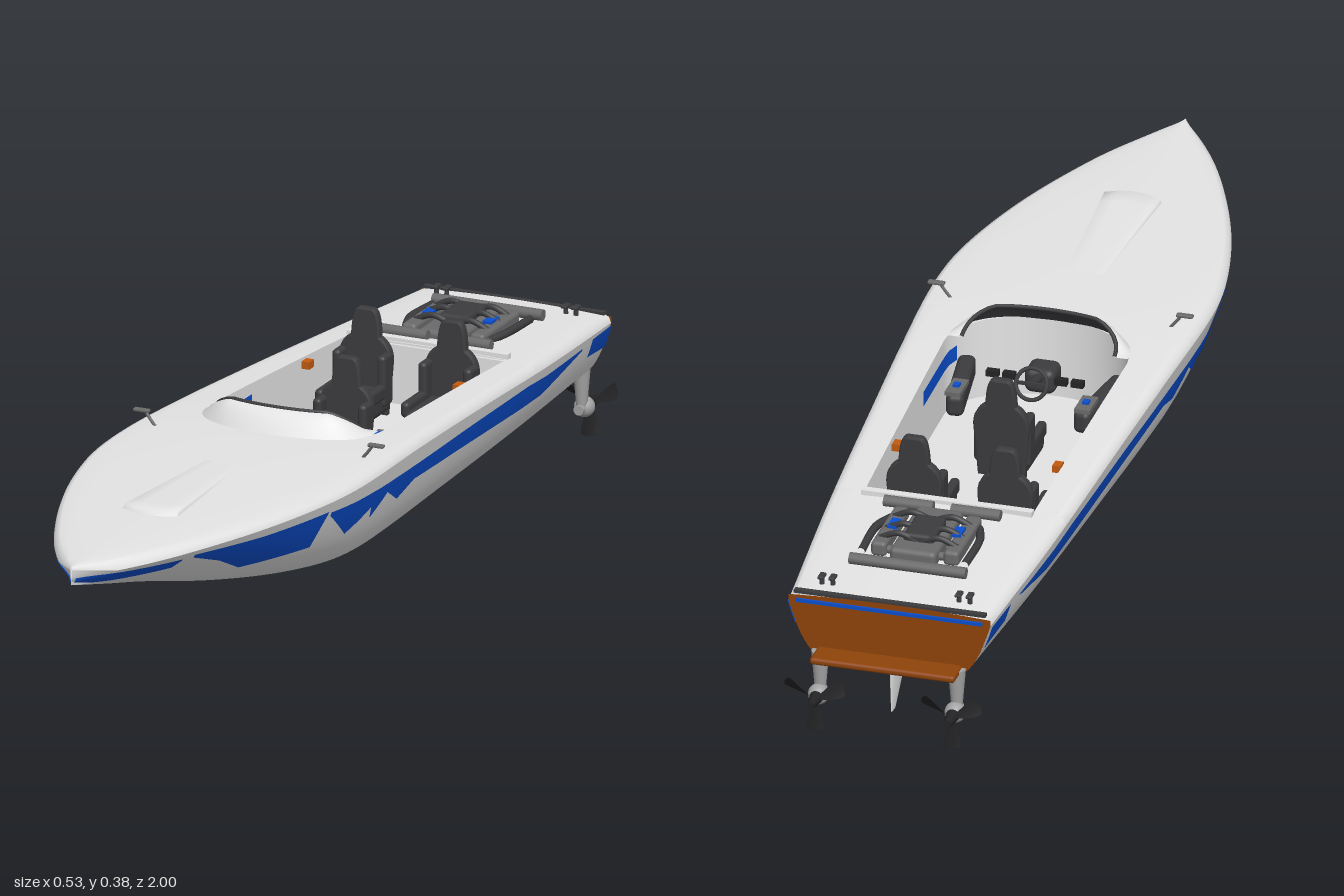
import * as THREE from 'three';
import { RoundedBoxGeometry } from 'three/addons/geometries/RoundedBoxGeometry.js';

const mat = (name, color, side = THREE.FrontSide) => {
  const m = new THREE.MeshStandardMaterial({ color, side });
  m.name = name;
  return m;
};
const white = mat('white', 0xe4e4e4, THREE.DoubleSide), blue = mat('blue', 0x0b4fd0, THREE.DoubleSide);
const brown = mat('brown', 0x8f430a, THREE.DoubleSide), dark = mat('darkGrey', 0x3c3c3f);
const black = mat('black', 0x232325, THREE.DoubleSide), grey = mat('grey', 0x6a6a6a);
const silver = mat('silver', 0xa2a2a2), orange = mat('orange', 0xc25a10);

// Smooth curve through [z, value] points
function curve(p) {
  const slope = i => {
    const a = p[Math.max(i - 1, 0)], b = p[Math.min(i + 1, p.length - 1)];
    return (b[1] - a[1]) / (b[0] - a[0]);
  };
  return z => {
    let i = 0;
    while (i < p.length - 2 && z > p[i + 1][0]) i++;
    const d = p[i + 1][0] - p[i][0], t = (z - p[i][0]) / d, t2 = t * t, t3 = t2 * t;
    return (2 * t3 - 3 * t2 + 1) * p[i][1] + (t3 - 2 * t2 + t) * d * slope(i)
      + (3 * t2 - 2 * t3) * p[i + 1][1] + (t3 - t2) * d * slope(i + 1);
  };
}
const beam = curve([[-.93, .195], [-.6, .222], [-.2, .245], [0, .256], [.25, .266], [.4, .255], [.6, .207], [.8, .13], [.92, .065], [1, 0.002]]);
const sheer = curve([[-.93, .259], [-.6, .28], [-.3, .301], [0, .319], [.2, .326], [.6, .328], [1, .327]]);
const keel = curve([[-.93, .126], [-.2, .126], [.2, .128], [.4, .15], [.6, .187], [.8, .24], [.92, .274], [1, .297]]);
const flat = curve([[-.93, .62], [.1, .64], [.4, .5], [.7, .2], [1, 0]]);
const clamp = THREE.MathUtils.clamp, lerp = THREE.MathUtils.lerp;
const range = (a, b, n) => Array.from({ length: n + 1 }, (_, i) => a + (b - a) * i / n);
const edge = z => Math.min(1, beam(z) / .06);
const sideTop = z => sheer(z) - .015 * edge(z);
const deckY = (x, z) => sheer(z) + .006 * (1 - Math.min(1, (x / beam(z)) ** 2));
const chineY = z => keel(z) + .007;
const sideX = (z, y) => {
  const u = clamp((y - chineY(z)) / (sideTop(z) - chineY(z)), 0, 1);
  return beam(z) * (flat(z) + (1 - flat(z)) * u ** .43);
};
// Half section: v 0..1 is the bottom with its tunnel, 1..2 the side
function section(z, v) {
  const s = Math.sign(v), a = Math.abs(v);
  if (a <= 1) {
    const tunnel = .018 * clamp((.5 - z) / .5, 0, 1) * Math.sin(Math.PI * a) ** 2;
    return [s * a * beam(z) * flat(z), keel(z) + .007 * a + tunnel, z];
  }
  const y = lerp(chineY(z), sideTop(z), (a - 1) ** 1.8);
  return [s * sideX(z, y), y, z];
}

// Surface from rows and columns of points
function grid(us, vs, fn) {
  const pos = [], idx = [], n = vs.length;
  us.forEach(u => vs.forEach(v => pos.push(...fn(u, v))));
  for (let i = 0; i < us.length - 1; i++) for (let j = 0; j < n - 1; j++) {
    const a = i * n + j, b = a + n;
    idx.push(a, b, a + 1, b, b + 1, a + 1);
  }
  const g = new THREE.BufferGeometry();
  g.setAttribute('position', new THREE.Float32BufferAttribute(pos, 3));
  g.setIndex(idx);
  g.computeVertexNormals();
  return g;
}

export function createModel() {
  const root = new THREE.Group();
  const add = (name, geo, m, x = 0, y = 0, z = 0, parent = root) => {
    const mesh = new THREE.Mesh(geo, m);
    mesh.name = name;
    mesh.position.set(x, y, z);
    parent.add(mesh);
    return mesh;
  };
  const box = (name, w, h, d, m, x, y, z, parent) => add(name, new THREE.BoxGeometry(w, h, d), m, x, y, z, parent);
  const rbox = (name, w, h, d, r, m, x, y, z, parent) => add(name, new RoundedBoxGeometry(w, h, d, 3, r), m, x, y, z, parent);
  const rod = (name, pts, r, m, parent) => add(name, new THREE.TubeGeometry(
    new THREE.CatmullRomCurve3(pts.map(p => new THREE.Vector3(...p))), 24, r, 8), m, 0, 0, 0, parent);

  // Hull and transom
  const cols = range(2, -2, 48);
  add('hull', grid(range(-.93, 1, 80), cols, section), white);
  add('transom', grid(range(0, 1, 4), range(-2, 2, 48), (u, v) => {
    const [x, y] = section(-.93, v);
    return [x, lerp(y, deckY(x, -.93) - .003, u), -.931];
  }), brown);
  rbox('transomLedge', .28, .014, .06, .006, brown, 0, .148, -.952);
  box('transomStripe', .36, .007, .004, blue, 0, .247, -.933);
  box('transomTrim', .37, .006, .012, dark, 0, .263, -.925);

  // Deck around the open cockpit
  const opening = z => (z > .02 ? .176 * Math.sqrt(Math.max(0, 1 - ((z - .02) / .13) ** 2)) : lerp(.163, .176, (z + .54) / .56));
  const front = range(0, Math.PI / 2, 16).map(a => .02 + .13 * Math.sin(a));
  const cockpitZ = [...range(-.54, 0, 16), ...front];
  const deckPoint = (s, inner) => (z, j) => {
    const W = beam(z), k = edge(z);
    if (j === 0) return [s * W, sideTop(z), z];
    if (j === 1) return [s * Math.max(0, W - .004 * k), sheer(z) - .004 * k, z];
    const x = lerp(Math.max(0, W - .014 * k), inner(z), (j - 2) / 6);
    return [s * x, deckY(x, z), z];
  };
  for (const s of [1, -1]) {
    const js = s > 0 ? range(8, 0, 8) : range(0, 8, 8);
    add('rearDeck', grid(range(-.93, -.54, 12), js, deckPoint(s, () => 0)), white);
    add('sideDeck', grid(cockpitZ, js, deckPoint(s, opening)), white);
    add('foreDeck', grid(range(.15, 1, 40), js, deckPoint(s, () => 0)), white);
    add('cockpitWall', grid(cockpitZ, s > 0 ? [0, 1] : [1, 0],
      (z, v) => [s * opening(z), lerp(.17, deckY(opening(z), z), v), z]), white);
    add('innerStripe', grid(range(-.14, .06, 8), s > 0 ? [0, 1] : [1, 0],
      (z, v) => [s * (opening(z) - .004), lerp(.265, .295, v), z]), blue);
  }
  add('cockpitFloor', grid(cockpitZ, [-1, 1], (z, v) => [v * opening(z), .17, z]), white);
  box('cockpitBulkhead', .325, .115, .006, white, 0, .2275, -.54);
  box('bulkheadRail', .33, .012, .016, white, 0, .29, -.552);

  // Jagged side stripes: [z, top, bottom]
  const stripes = [
    [[.995, .311, .302], [.94, .309, .288], [.8, .303, .287], [.79, .303, .299]],
    [[.765, .306, .3], [.68, .302, .27], [.6, .298, .232], [.42, .296, .225], [.41, .296, .291]],
    [[.4, .292, .285], [.31, .287, .22], [.23, .284, .25], [.22, .283, .225], [.165, .281, .26], [.1, .278, .225],
      [.03, .275, .243], [-.2, .268, .23], [-.5, .257, .212], [-.6, .248, .208], [-.78, .242, .238]],
    [[-.83, .245, .208], [-.928, .242, .197]]];
  for (const list of stripes) for (const s of [1, -1]) {
    const rows = [];
    list.slice(1).forEach((q, i) => range(0, 1, Math.ceil((list[i][0] - q[0]) / .025)).forEach(t =>
      rows.push(q.map((e, k) => lerp(list[i][k], e, t)))));
    add('sideStripe', grid(rows, range(0, 1, 6).map(t => (s > 0 ? 1 - t : t)), ([z, top, bot], v) => {
      const y = lerp(Math.max(bot, chineY(z)), Math.min(top, sideTop(z)), v);
      return [s * (sideX(z, y) + .003), y - .001, z];
    }), blue);
  }

  // Raised foredeck ramp
  add('deckRamp', grid([...range(0, 1, 8), 1.02], [-1, -.96, -.5, 0, .5, .96, 1], (t, v) => {
    const x = v * lerp(.036, .056, t), z = .34 + .31 * t + .018 * t * (1 - v * v);
    return [x, deckY(x, z) + (Math.abs(v) === 1 || t > 1 ? -.002 : .009 * t), z];
  }), white);

  // Windshield with dark rim and lining
  const shield = (a, v, inset = 0) => {
    const sn = Math.sin(a), k = 1 - .14 * v - inset, rise = .043 * Math.min(1, 1.35 * sn);
    return [.174 * k * Math.cos(a), .327 + rise * Math.sin(v * Math.PI / 2), .035 + .118 * sn ** .8 - (.045 * v + inset * .1) * sn];
  };
  const arc = range(0, Math.PI, 40);
  add('windshield', grid(arc, range(1, 0, 6), (a, v) => shield(a, v)), white);
  add('windshieldLining', grid(arc, range(0, 1, 6), (a, v) => shield(a, v, .035)), dark);
  rod('windshieldRim', arc.map(a => shield(a, 1, .01)), .004, dark);

  // Seats
  const backShape = new THREE.Shape();
  backShape.moveTo(-.042, 0);
  backShape.lineTo(.042, 0);
  backShape.lineTo(.05, .1);
  backShape.quadraticCurveTo(.05, .13, .026, .143);
  backShape.quadraticCurveTo(.024, .195, .012, .195);
  backShape.lineTo(-.012, .195);
  backShape.quadraticCurveTo(-.024, .195, -.026, .143);
  backShape.quadraticCurveTo(-.05, .13, -.05, .1);
  const backGeo = new THREE.ExtrudeGeometry(backShape, { depth: .01, bevelSize: .004, bevelThickness: .004, bevelSegments: 2 });
  for (const [x, z] of [[0, -.2], [-.088, -.47], [.088, -.47]]) {
    const seat = new THREE.Group();
    seat.name = 'seat';
    seat.position.set(x, .172, z);
    root.add(seat);
    add('seatBack', backGeo, dark, 0, .005, 0, seat).rotation.x = -.03;
    rbox('seatCushion', .1, .05, .125, .018, dark, 0, .03, .06, seat);
    for (const s of [1, -1]) {
      rbox('seatBolster', .018, .1, .04, .008, dark, s * .046, .075, .02, seat);
      rbox('cushionBolster', .018, .03, .11, .008, dark, s * .046, .055, .06, seat);
    }
  }

  // Helm
  add('steeringWheel', new THREE.TorusGeometry(.03, .004, 8, 24), dark, 0, .27, -.005).rotation.x = .4;
  box('wheelSpoke', .056, .006, .005, dark, 0, .27, -.005);
  rod('steeringColumn', [[0, .27, -.005], [0, .262, .03], [0, .255, .09]], .009, dark);
  rbox('helmHousing', .06, .05, .06, .015, dark, 0, .25, .07);
  for (const s of [1, -1]) {
    for (const x of [.05, .082]) box('gauge', .024, .012, .014, black, s * x, .27, .02);
    const arm = rbox('sideConsole', .034, .045, .18, .012, dark, s * .135, .25, -.01);
    arm.rotation.y = s * .15;
    box('consolePanel', .03, .008, .06, grey, s * .125, .276, -.07);
    box('consoleSwitch', .012, .006, .014, blue, s * .125, .282, -.07);
    box('grabLight', .016, .014, .022, orange, s * .155, .29, -.355);
  }

  // Engine
  rbox('engineBlock', .09, .035, .19, .01, grey, 0, .284, -.69);
  rbox('airIntake', .06, .025, .09, .008, dark, 0, .303, -.7);
  for (const [z, r] of [[-.81, .011], [-.755, .008]])
    add('crossPipe', new THREE.CylinderGeometry(r, r, z < -.8 ? .225 : .16, 12), grey, 0, .284, z).rotation.z = Math.PI / 2;
  for (const s of [1, -1]) {
    add('frontPipe', new THREE.CylinderGeometry(.011, .011, .095, 12), grey, s * .065, .294, -.585).rotation.z = Math.PI / 2;
    rbox('cylinderHead', .03, .03, .16, .008, grey, s * .07, .287, -.69);
    rod('exhaust', [[s * .085, .285, -.63], [s * .1, .288, -.68], [s * .1, .284, -.78]], .008, dark);
    for (const z of [-.65, -.7, -.74]) rod('runner', [[0, .3, z], [s * .04, .312, z], [s * .075, .298, z]], .006, dark);
    box('engineCover', .018, .006, .035, blue, s * .062, .304, -.69);
  }

  // Mirrors and stern cleats
  for (const s of [1, -1]) {
    rod('mirrorStem', [[s * .212, .326, .185], [s * .222, .338, .185], [s * .233, .353, .185]], .003, grey);
    rbox('mirror', .032, .006, .012, .002, grey, s * .24, .354, .185);
    for (const x of [.122, .143]) {
      add('cleatPost', new THREE.CylinderGeometry(.004, .005, .016, 10), dark, s * x, .27, -.888);
      rbox('cleatCap', .012, .006, .022, .002, dark, s * x, .28, -.888);
    }
  }

  // Skeg
  add('skeg', grid([0, .5, 1], range(0, 2 * Math.PI, 16), (t, a) => [
    lerp(.009, .002, t) * Math.sin(a), lerp(.14, .033, t), lerp(-.86, -.905, t) + lerp(.065, .014, t) * Math.cos(a)]), white);

  // Drive legs and three-bladed propellers
  const blade = grid(range(0, 1, 8), range(-1, 1, 6), (t, v) => {
    const w = lerp(.007, .017, Math.sin(t * 1.9)) * v, p = lerp(1, .55, t);
    return [w * Math.cos(p), lerp(.012, .066, t) - .004 * t * v * v, w * Math.sin(p)];
  });
  for (const s of [1, -1]) {
    const drive = new THREE.Group();
    drive.name = 'drive';
    drive.position.set(s * .132, .066, -.966);
    root.add(drive);
    add('driveLeg', new THREE.CylinderGeometry(.017, .01, .085, 16), silver, 0, .042, .03, drive);
    add('shaft', new THREE.CylinderGeometry(.01, .01, .05, 16), silver, 0, 0, .02, drive).rotation.x = Math.PI / 2;
    add('driveHub', new THREE.SphereGeometry(.02, 20, 14), silver, 0, 0, .018, drive);
    add('propellerHub', new THREE.CylinderGeometry(.014, .007, .044, 16), black, 0, 0, -.012, drive).rotation.x = Math.PI / 2;
    for (let i = 0; i < 3; i++)
      add('propellerBlade', blade, black, 0, 0, -.006, drive).rotation.z = Math.PI + i * Math.PI * 2 / 3;
  }
  return root;
}
